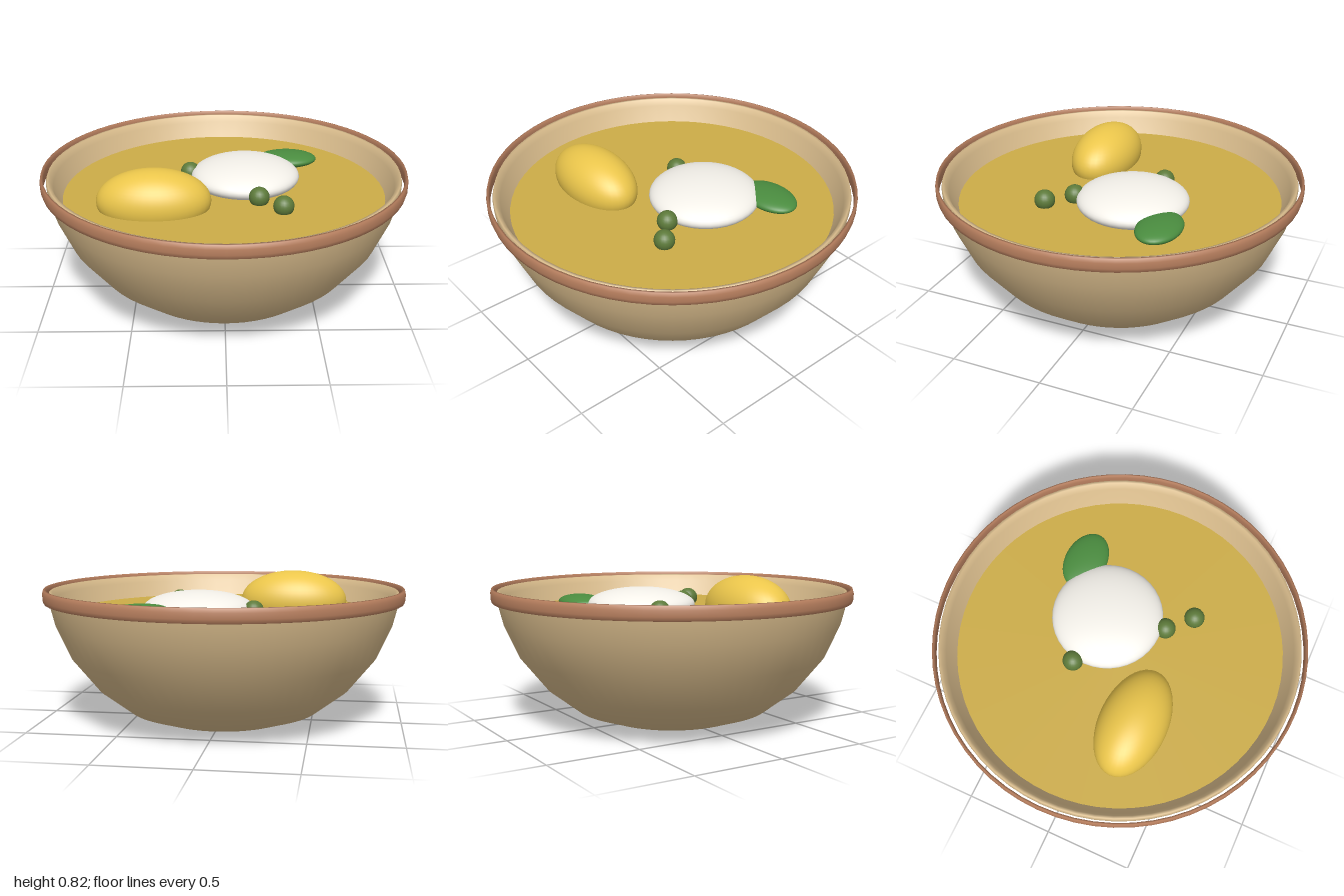
import * as THREE from 'three';

const paint = (color, side = THREE.FrontSide) => new THREE.MeshStandardMaterial({ color, side });

export function createModel() {
  const group = new THREE.Group();

  const add = (name, geometry, material, position = [0, 0, 0], scale = [1, 1, 1]) => {
    const mesh = new THREE.Mesh(geometry, material);
    mesh.name = name;
    mesh.position.set(...position);
    mesh.scale.set(...scale);
    group.add(mesh);
  };
  const lathe = (points) =>
    new THREE.LatheGeometry(points.map(([r, y]) => new THREE.Vector2(r, y)), 64);

  // Bowl: up the outside, over the lip and down the inside
  add('bowl', lathe([
    [0, 0.005], [0.3, 0], [0.38, 0.015], [0.54, 0.07], [0.71, 0.2], [0.855, 0.38],
    [0.935, 0.56], [0.965, 0.68], [0.968, 0.72], [0.962, 0.738], [0.947, 0.738],
    [0.93, 0.7], [0.885, 0.6], [0.79, 0.42], [0.63, 0.24], [0.4, 0.12], [0, 0.09],
  ]), paint(0xd9bc8c));

  // Rim: a thin, tall band standing just clear of the bowl
  add('rim', lathe([
    [0.985, 0.68], [0.994, 0.682], [1, 0.703], [1, 0.732], [0.994, 0.753],
    [0.985, 0.755], [0.982, 0.732], [0.982, 0.703], [0.985, 0.68],
  ]), paint(0xb9805f));

  // Soup surface
  const soup = new THREE.CircleGeometry(0.887, 64).rotateX(-Math.PI / 2);
  add('soup', soup, paint(0xccac48), [0, 0.61, 0]);

  // Toppings: squashed spheres floating in the soup
  const ball = new THREE.SphereGeometry(1, 40, 28);
  add('potato', ball, paint(0xebc64b), [-0.375, 0.652, 0.247], [0.305, 0.173, 0.183]);
  add('egg', ball, paint(0xf4f1ea), [0.123, 0.645, -0.13], [0.305, 0.095, 0.305]);
  add('leaf', ball, paint(0x4a8c3f), [0.376, 0.65, -0.381], [0.175, 0.042, 0.118]);

  // Peas
  const pea = new THREE.SphereGeometry(0.056, 20, 14);
  const peaPaint = paint(0x5d7a3a);
  [[-0.19, -0.193], [0.187, 0.187], [0.31, 0.307]].forEach(([x, z], i) =>
    add(`pea${i + 1}`, pea, peaPaint, [x, 0.642, z]));

  return group;
}
